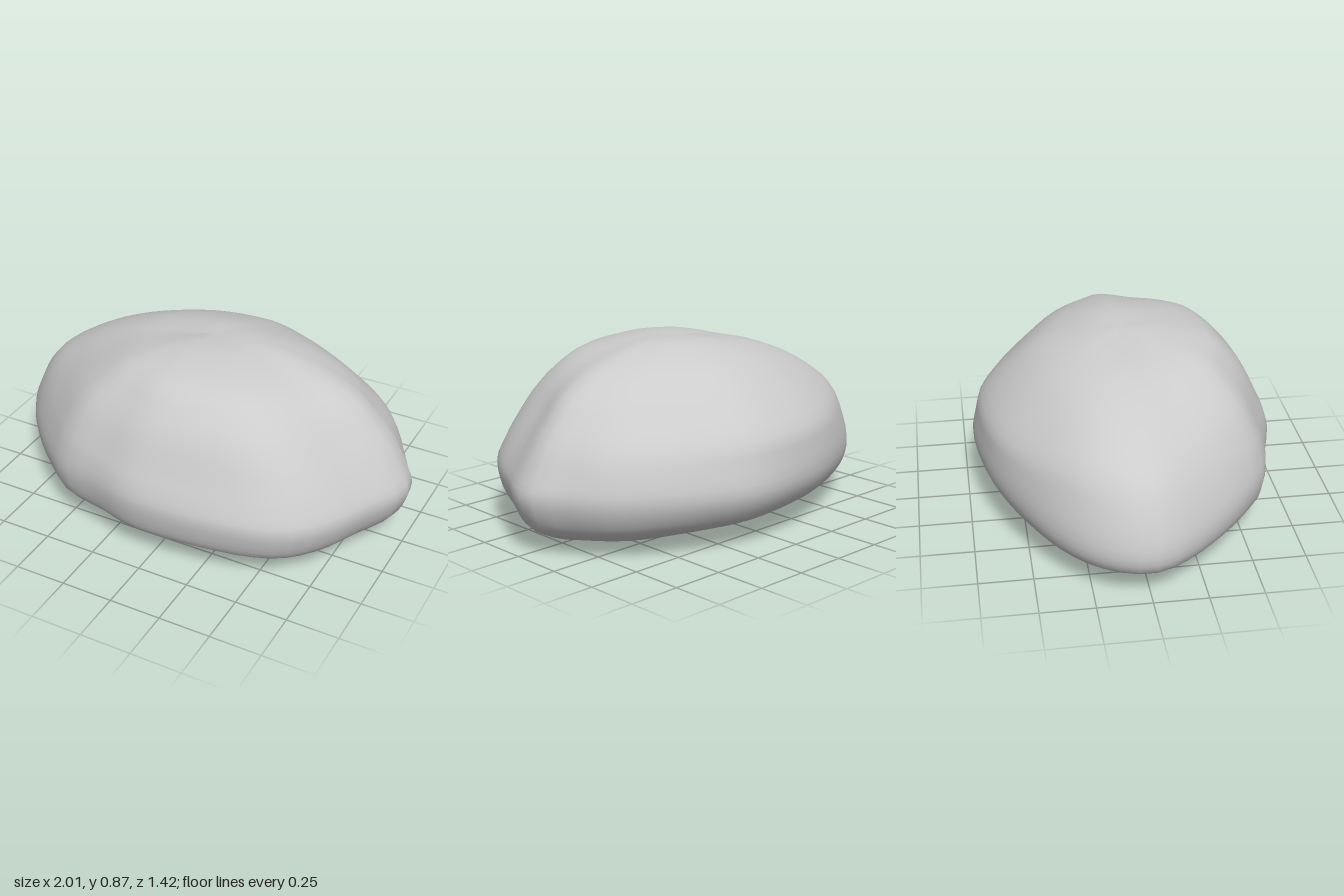
import * as THREE from 'three';
import { mergeVertices } from 'three/addons/utils/BufferGeometryUtils.js';

// Outline of the stone seen from above: x, z
const PLAN = [
  [1, -0.02], [0.98, 0.05], [0.9, 0.2], [0.81, 0.39], [0.68, 0.55], [0.53, 0.63], [0.32, 0.68],
  [0.1, 0.705], [-0.1, 0.705], [-0.3, 0.65], [-0.5, 0.6], [-0.62, 0.51], [-0.75, 0.39], [-0.92, 0.19],
  [-1, 0.04], [-1, -0.08], [-0.93, -0.24], [-0.8, -0.38], [-0.55, -0.54], [-0.25, -0.66], [0.17, -0.71],
  [0.4, -0.64], [0.6, -0.54], [0.78, -0.41], [0.87, -0.3], [0.93, -0.19], [0.99, -0.1],
];

// Profiles from the crown over the rim to the base: share of the outline, height
const PROFILES = {
  left: [[0, 0.855], [0.25, 0.86], [0.53, 0.79], [0.72, 0.69], [0.83, 0.58], [0.91, 0.48], [0.97, 0.37],
    [1, 0.27], [0.96, 0.15], [0.87, 0.07], [0.63, 0], [0.35, 0.005], [0, 0.02]],
  right: [[0, 0.855], [0.2, 0.83], [0.4, 0.79], [0.6, 0.71], [0.75, 0.62], [0.85, 0.54], [0.93, 0.43],
    [1, 0.27], [0.99, 0.16], [0.91, 0.1], [0.78, 0.05], [0.5, 0.035], [0, 0.02]],
  front: [[0, 0.855], [0.25, 0.86], [0.58, 0.81], [0.74, 0.72], [0.85, 0.62], [0.94, 0.48], [0.98, 0.4],
    [1, 0.31], [0.97, 0.19], [0.91, 0.13], [0.75, 0.08], [0.4, 0.03], [0, 0.02]],
  back: [[0, 0.855], [0.2, 0.85], [0.42, 0.8], [0.58, 0.74], [0.76, 0.63], [0.92, 0.5], [0.97, 0.4],
    [1, 0.27], [0.94, 0.17], [0.84, 0.11], [0.65, 0.06], [0.3, 0.01], [0, 0.02]],
};

function stoneGeometry(sides, rings) {
  const outline = new THREE.CatmullRomCurve3(
    PLAN.map(([x, z]) => new THREE.Vector3(x, 0, z)), true).getSpacedPoints(sides).slice(0, sides);
  const curves = {};
  for (const [side, points] of Object.entries(PROFILES)) {
    curves[side] = new THREE.SplineCurve(points.map(([t, y]) => new THREE.Vector2(t, y)));
  }

  // Rings from crown to base, blending the profiles of the two nearest sides
  const positions = [], index = [];
  for (let i = 0; i <= rings; i++) {
    const s = i / rings;
    const profile = {};
    for (const side in curves) profile[side] = curves[side].getPoint(s);
    const shoulder = Math.sin(Math.PI * Math.min(1, s / 0.58));
    for (const p of outline) {
      const angle = Math.atan2(p.z / 0.71, p.x);
      const alongX = profile[p.x > 0 ? 'left' : 'right'];
      const alongZ = profile[p.z > 0 ? 'front' : 'back'];
      const { x: t, y } = alongX.clone().lerp(alongZ, Math.sin(angle) ** 2);
      // Front left shoulder cut back, back right shoulder fuller, with shallow dents
      const corner = 1 - 0.05 * Math.cos(angle - Math.PI / 4) ** 3 * shoulder;
      const dent = 1 + 0.01 * Math.sin(5 * angle + 9 * s) * Math.sin(Math.PI * s) * shoulder;
      positions.push(p.x * t * corner * dent, y, p.z * t * corner * dent);
    }
  }

  // Skin between neighbouring rings
  for (let i = 0; i < rings; i++) {
    for (let j = 0; j < sides; j++) {
      const k = (j + 1) % sides;
      const a = i * sides + j, b = i * sides + k, c = a + sides, d = b + sides;
      index.push(a, b, c, b, d, c);
    }
  }

  const geometry = new THREE.BufferGeometry();
  geometry.setAttribute('position', new THREE.Float32BufferAttribute(positions, 3));
  geometry.setIndex(index);
  const welded = mergeVertices(geometry);
  welded.computeVertexNormals();
  return welded;
}

export function createModel() {
  const group = new THREE.Group();
  group.name = 'boulder';
  const stone = new THREE.Mesh(stoneGeometry(64, 36), new THREE.MeshStandardMaterial({ color: 0xcccccc }));
  stone.name = 'stone';
  group.add(stone);
  return group;
}
